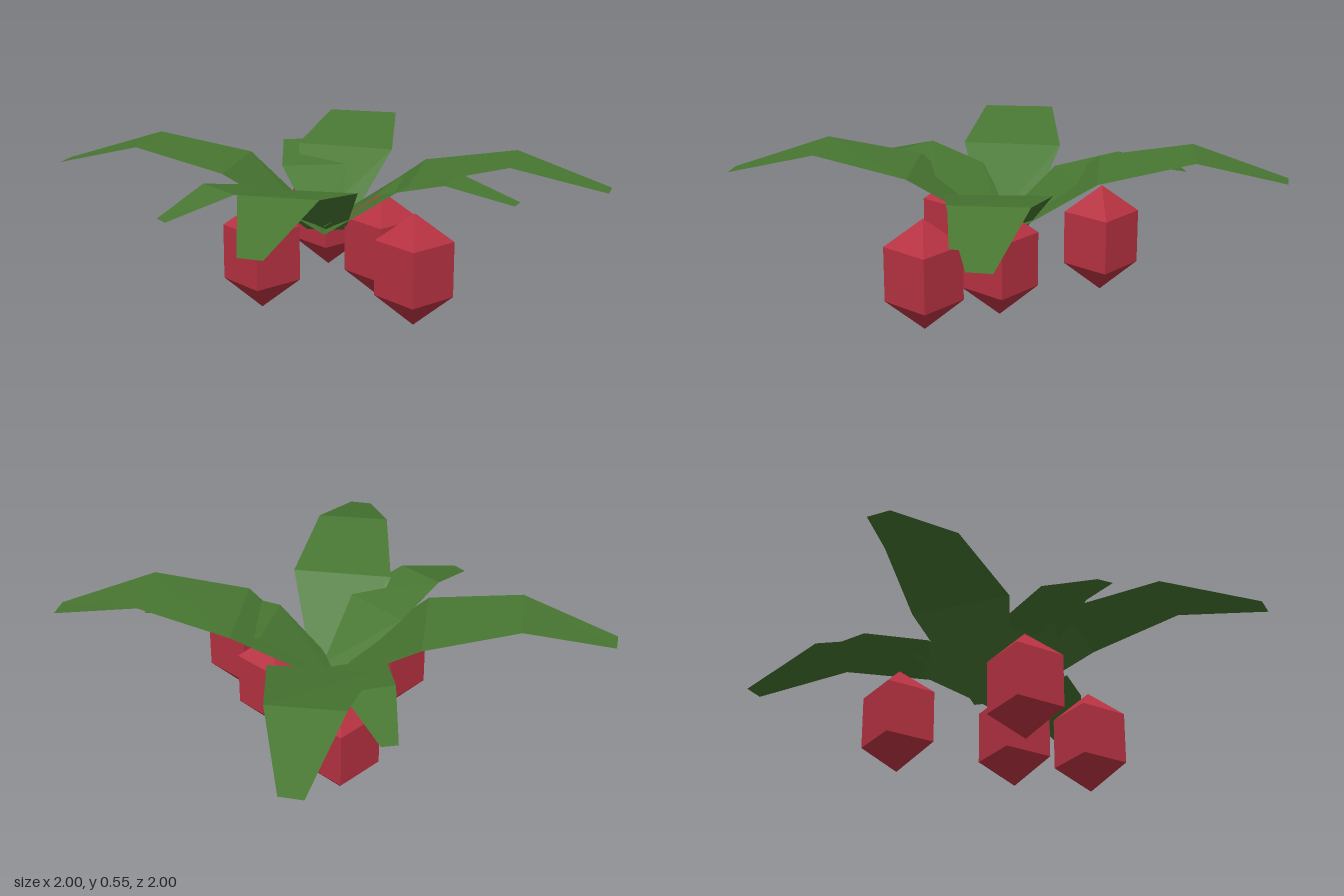
import * as THREE from 'three';

const leafGreen = new THREE.MeshStandardMaterial({ color: 0x487732, flatShading: true, side: THREE.DoubleSide });
leafGreen.name = 'leaf green';
const berryRed = new THREE.MeshStandardMaterial({ color: 0xb83242, flatShading: true });
berryRed.name = 'berry red';

// Leaf cross-sections from stem to tip: [left x, y, z], [right x, y, z]
const LEAF_ROWS = [
  [[-0.07, 0.255, 0], [0.07, 0.255, 0]],
  [[-0.225, 0.485, 0.30], [0.135, 0.49, 0.355]],
  [[-0.227, 0.555, 0.64], [0.035, 0.555, 0.68]],
  [[-0.18, 0.46, 0.98], [-0.10, 0.46, 1.0]],
];

function leafGeometry() {
  const points = [];
  for (let i = 0; i < LEAF_ROWS.length - 1; i++) {
    const [l0, r0] = LEAF_ROWS[i];
    const [l1, r1] = LEAF_ROWS[i + 1];
    points.push(...l0, ...l1, ...r0, ...r0, ...l1, ...r1);
  }
  const geometry = new THREE.BufferGeometry();
  geometry.setAttribute('position', new THREE.Float32BufferAttribute(points, 3));
  geometry.computeVertexNormals();
  return geometry;
}

// Four-sided berry with pointed ends
function berryGeometry() {
  const profile = [[0, 0.01], [0.135, 0.115], [0.135, 0.312], [0, 0.41]];
  return new THREE.LatheGeometry(profile.map(([r, y]) => new THREE.Vector2(r, y)), 4);
}

export function createModel() {
  const model = new THREE.Group();
  model.name = 'berryPlant';
  const leaf = leafGeometry();
  const berry = berryGeometry();

  // Leaf rosette of evenly turned copies
  const addLeaves = (name, count, startDegrees, scale, lift) => {
    for (let i = 0; i < count; i++) {
      const mesh = new THREE.Mesh(leaf, leafGreen);
      mesh.name = name + (i + 1);
      mesh.rotation.y = THREE.MathUtils.degToRad(startDegrees + (360 * i) / count);
      mesh.scale.setScalar(scale);
      mesh.position.y = lift;
      model.add(mesh);
    }
  };
  addLeaves('largeLeaf', 4, 0, 1, 0);
  addLeaves('smallLeaf', 3, -38, 0.7, 0.097);

  // Berries hanging below the leaves
  [[0.325, 0.30], [-0.215, 0.16], [0.205, 0.035], [-0.02, -0.35]].forEach(([x, z], i) => {
    const mesh = new THREE.Mesh(berry, berryRed);
    mesh.name = 'berry' + (i + 1);
    mesh.position.set(x, 0, z);
    model.add(mesh);
  });
  return model;
}
